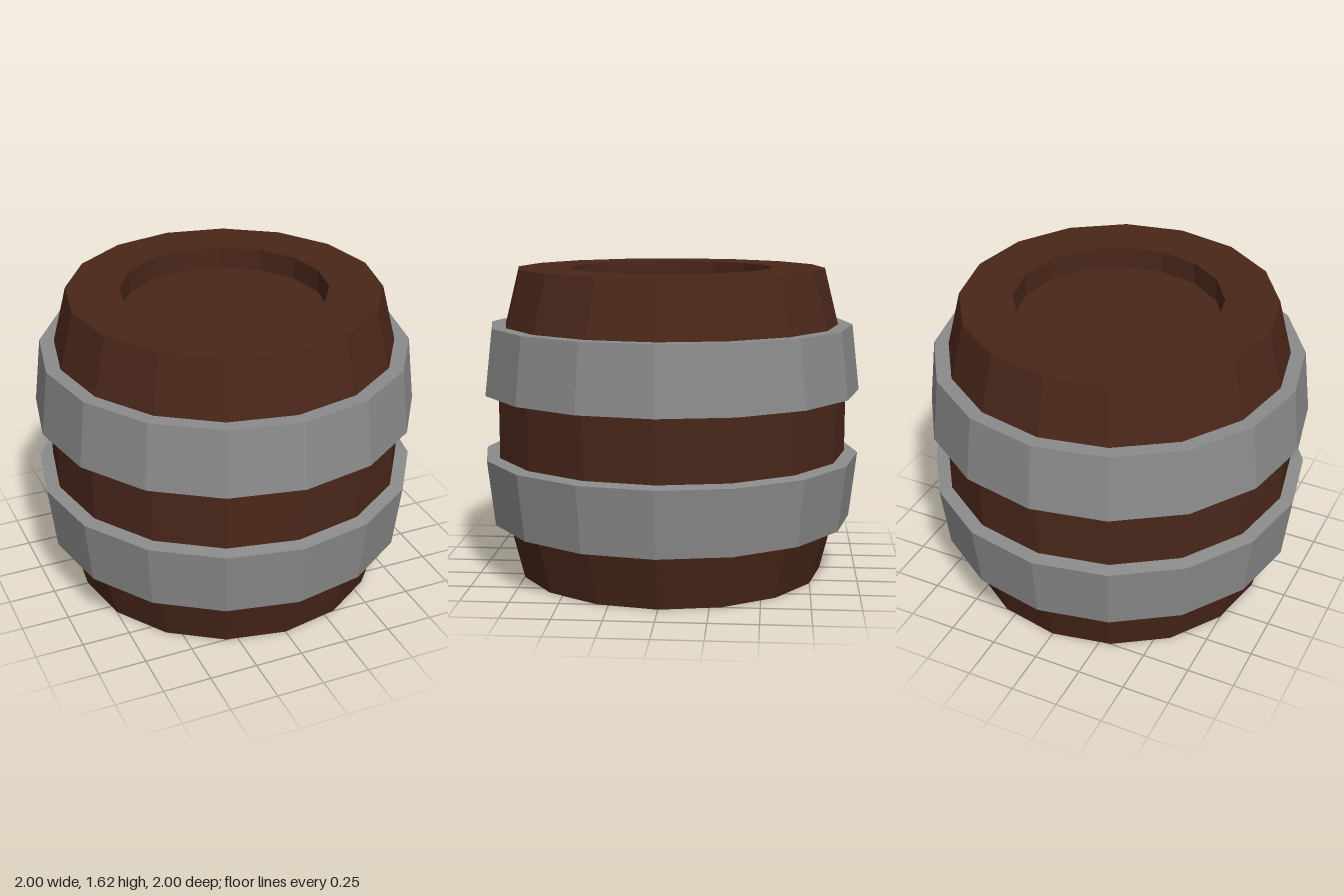
import * as THREE from 'three';

const SIDES = 16;
const HEIGHT = 1.62;

const wood = new THREE.MeshStandardMaterial({ color: 0x4a271a, flatShading: true });
const metal = new THREE.MeshStandardMaterial({ color: 0x8b8b8b, flatShading: true });

// Revolves a half profile of [radius, height] pairs, listed bottom to top along the outside
function turned(name, profile, material) {
  const points = profile.map(([r, y]) => new THREE.Vector2(r, y));
  const mesh = new THREE.Mesh(new THREE.LatheGeometry(points, SIDES), material);
  mesh.name = name;
  return mesh;
}

// Mirrors a profile about mid height, keeping the bottom-to-top order
const mirrored = (profile) => profile.map(([r, y]) => [r, HEIGHT - y]).reverse();

export function createModel() {
  const group = new THREE.Group();
  group.name = 'barrel';

  // Wooden body with a round recess in each end
  const lowerHalf = [
    [0, 0.12], [0.535, 0.12], [0.535, 0], [0.81, 0], [0.885, 0.3], [0.93, 0.65],
  ];
  group.add(turned('body', [...lowerHalf, ...mirrored(lowerHalf)], wood));

  // Two metal hoops, each widest toward the middle of the barrel
  const hoop = [[0.885, 0.295], [0.96, 0.295], [1, 0.64], [0.93, 0.65]];
  group.add(turned('lowerHoop', hoop, metal));
  group.add(turned('upperHoop', mirrored(hoop), metal));

  return group;
}
